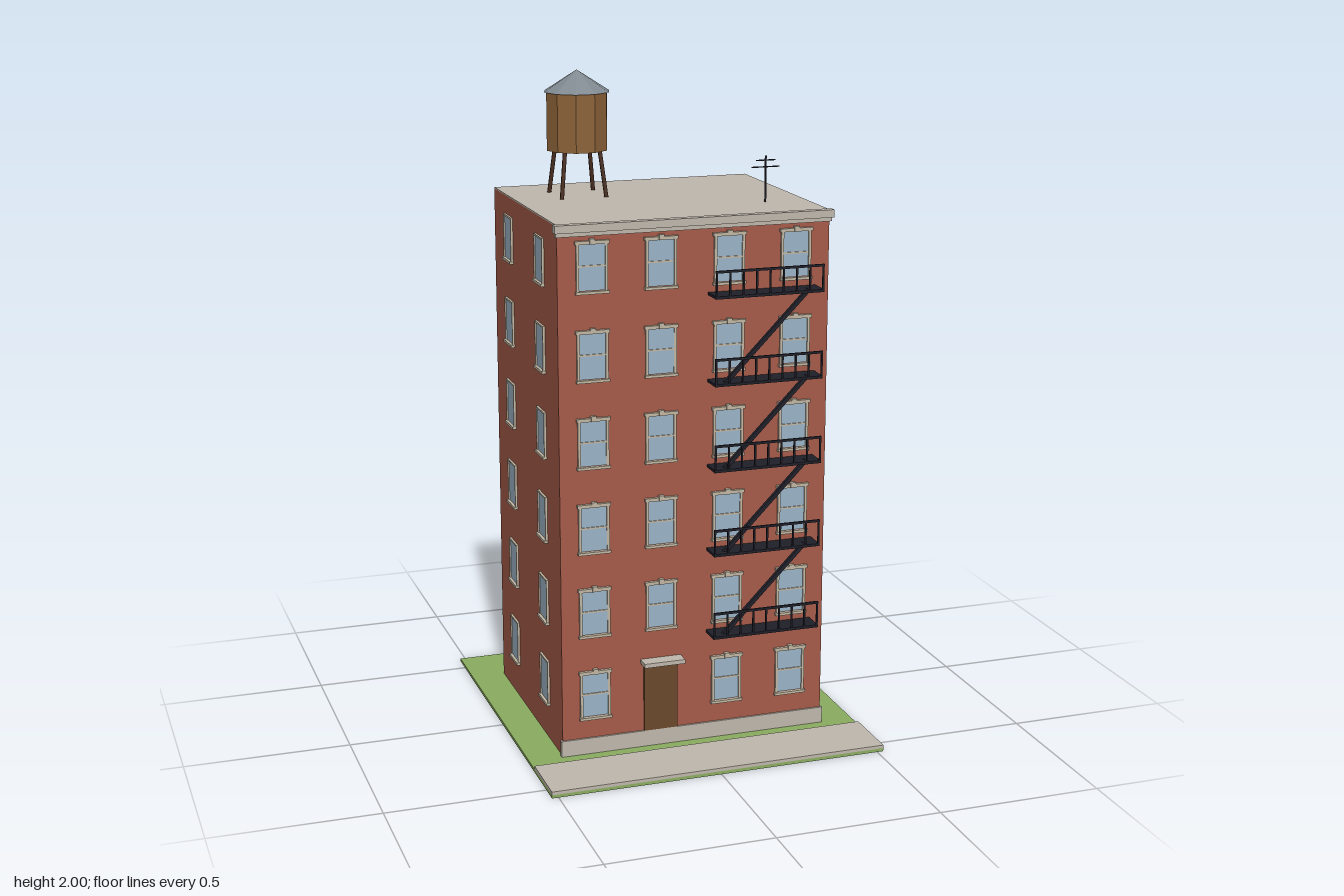
import * as THREE from 'three';

const mat = (name, color) => {
  const m = new THREE.MeshStandardMaterial({ color });
  m.name = name;
  return m;
};

export function createModel() {
  const brick = mat('brick', 0xa65b49), stone = mat('stone', 0xc0b8ad), trim = mat('window trim', 0xc3b7a3);
  const glass = mat('glass', 0x9ab3c6), grass = mat('grass', 0x8bad61), door = mat('door brown', 0x6a482b);
  const iron = mat('black iron', 0x1f1f29), wood = mat('tank wood', 0x8d6338), metal = mat('grey metal', 0x808990);
  const legWood = mat('dark wood', 0x4a2e20);
  wood.flatShading = metal.flatShading = true;

  const model = new THREE.Group();
  model.name = 'apartmentBuilding';

  const group = (name, parent = model) => {
    const g = new THREE.Group();
    g.name = name;
    parent.add(g);
    return g;
  };
  // Box given by its limits on each axis
  const box = (parent, name, m, x0, x1, y0, y1, z0, z1) => {
    const mesh = new THREE.Mesh(new THREE.BoxGeometry(x1 - x0, y1 - y0, z1 - z0), m);
    mesh.position.set((x0 + x1) / 2, (y0 + y1) / 2, (z0 + z1) / 2);
    mesh.name = name;
    parent.add(mesh);
    return mesh;
  };
  // Round rod between two points
  const rod = (parent, name, m, a, b, r, sides = 6) => {
    const p = new THREE.Vector3(...a), q = new THREE.Vector3(...b);
    const mesh = new THREE.Mesh(new THREE.CylinderGeometry(r, r, p.distanceTo(q), sides), m);
    mesh.position.copy(p).add(q).multiplyScalar(0.5);
    mesh.quaternion.setFromUnitVectors(new THREE.Vector3(0, 1, 0), q.sub(p).normalize());
    mesh.name = name;
    parent.add(mesh);
  };

  // Ground and shell
  box(model, 'lawn', grass, -0.52, 0.52, 0, 0.01, -0.56, 0.56);
  box(model, 'sidewalk', stone, -0.52, 0.52, 0.01, 0.02, 0.37, 0.56);
  box(model, 'walls', brick, -0.415, 0.415, 0.01, 1.618, -0.39, 0.31);
  box(model, 'roof', stone, -0.415, 0.415, 1.618, 1.622, -0.39, 0.31);
  box(model, 'plinth', stone, -0.42, 0.42, 0.01, 0.06, 0.3, 0.316);
  box(model, 'cornice', stone, -0.425, 0.425, 1.6, 1.623, 0.3, 0.325);
  box(model, 'corniceMoulding', stone, -0.42, 0.42, 1.588, 1.6, 0.3, 0.318);

  // Door and canopy
  box(model, 'door', door, -0.16, -0.055, 0.06, 0.275, 0.309, 0.316);
  box(model, 'doorCanopy', stone, -0.17, -0.043, 0.277, 0.29, 0.31, 0.354);

  // Window facing +z, with its bottom centre at the origin
  const addWindow = (parent, x, y, z, turn, front) => {
    const g = group('window', parent);
    const w = front ? 0.047 : 0.044, h = front ? 0.152 : 0.14, t = front ? 0.008 : 0.005;
    box(g, 'pane', glass, -w + t, w - t, t, h - t, -0.001, 0.003);
    for (const s of [-1, 1]) {
      const c = s * (w - t / 2);
      box(g, 'jamb', trim, c - t / 2, c + t / 2, 0, h, -0.001, 0.007);
    }
    box(g, 'head', trim, -w, w, h - t, h, -0.001, 0.007);
    box(g, 'sill', trim, -w - 0.003, w + 0.003, -0.002, 0.006, -0.001, 0.012);
    if (front) {
      box(g, 'sashBar', trim, -w, w, 0.076, 0.081, -0.001, 0.006);
      box(g, 'lintel', trim, -w - 0.004, w + 0.004, h - 0.01, h, -0.001, 0.01);
      box(g, 'keystone', trim, -0.008, 0.008, h - 0.01, h + 0.006, -0.001, 0.012);
    }
    g.position.set(x, y, z);
    g.rotation.y = turn;
  };
  const windows = group('windows');
  for (let floor = 0; floor < 6; floor++) {
    const y = 0.122 + 0.26 * floor;
    [-0.313, -0.106, 0.103, 0.31].forEach((x, i) => {
      if (floor || i !== 1) addWindow(windows, x, y, 0.31, 0, true);
    });
    for (const x of [-0.28, 0, 0.28]) addWindow(windows, x, y, -0.39, Math.PI, false);
    for (const z of [-0.218, 0.13])
      for (const s of [-1, 1]) addWindow(windows, s * 0.415, y, z, s * Math.PI / 2, false);
  }

  // Fire escape: landings, railings and flights
  const escape = group('fireEscape');
  for (let i = 0; i < 5; i++) {
    const y = 0.352 + 0.26 * i;
    box(escape, 'landing', iron, 0.038, 0.374, y, y + 0.008, 0.31, 0.38);
    box(escape, 'handrail', iron, 0.038, 0.374, y + 0.076, y + 0.083, 0.374, 0.38);
    for (let k = 0; k < 9; k++) {
      const x = 0.041 + k * 0.04125;
      box(escape, 'baluster', iron, x - 0.0025, x + 0.0025, y, y + 0.08, 0.375, 0.38);
    }
    if (i < 4) {
      const flight = box(escape, 'stairFlight', iron, -0.184, 0.184, -0.006, 0.006, -0.006, 0.006);
      flight.position.set(0.205, y + 0.134, 0.355);
      flight.rotation.z = Math.atan2(0.26, 0.255);
    }
  }

  // Water tank on four splayed legs
  const tank = group('waterTank');
  tank.position.set(-0.209, 0, -0.176);
  const barrel = new THREE.Mesh(new THREE.CylinderGeometry(0.095, 0.095, 0.175, 10), wood);
  barrel.name = 'tankBarrel';
  barrel.position.y = 1.8475;
  const cap = new THREE.Mesh(new THREE.ConeGeometry(0.102, 0.065, 10), metal);
  cap.name = 'tankRoof';
  cap.position.y = 1.9675;
  barrel.rotation.y = cap.rotation.y = Math.PI / 10;
  tank.add(barrel, cap);
  for (const sx of [-1, 1])
    for (const sz of [-1, 1])
      rod(tank, 'tankLeg', legWood, [sx * 0.07, 1.62, sz * 0.07], [sx * 0.054, 1.765, sz * 0.054], 0.0065);

  // Roof antenna
  const antenna = group('antenna');
  rod(antenna, 'mast', iron, [0.284, 1.62, 0.128], [0.284, 1.76, 0.128], 0.003);
  rod(antenna, 'longBar', iron, [0.24, 1.727, 0.128], [0.328, 1.727, 0.128], 0.002);
  rod(antenna, 'shortBar', iron, [0.254, 1.747, 0.128], [0.314, 1.747, 0.128], 0.002);

  return model;
}
